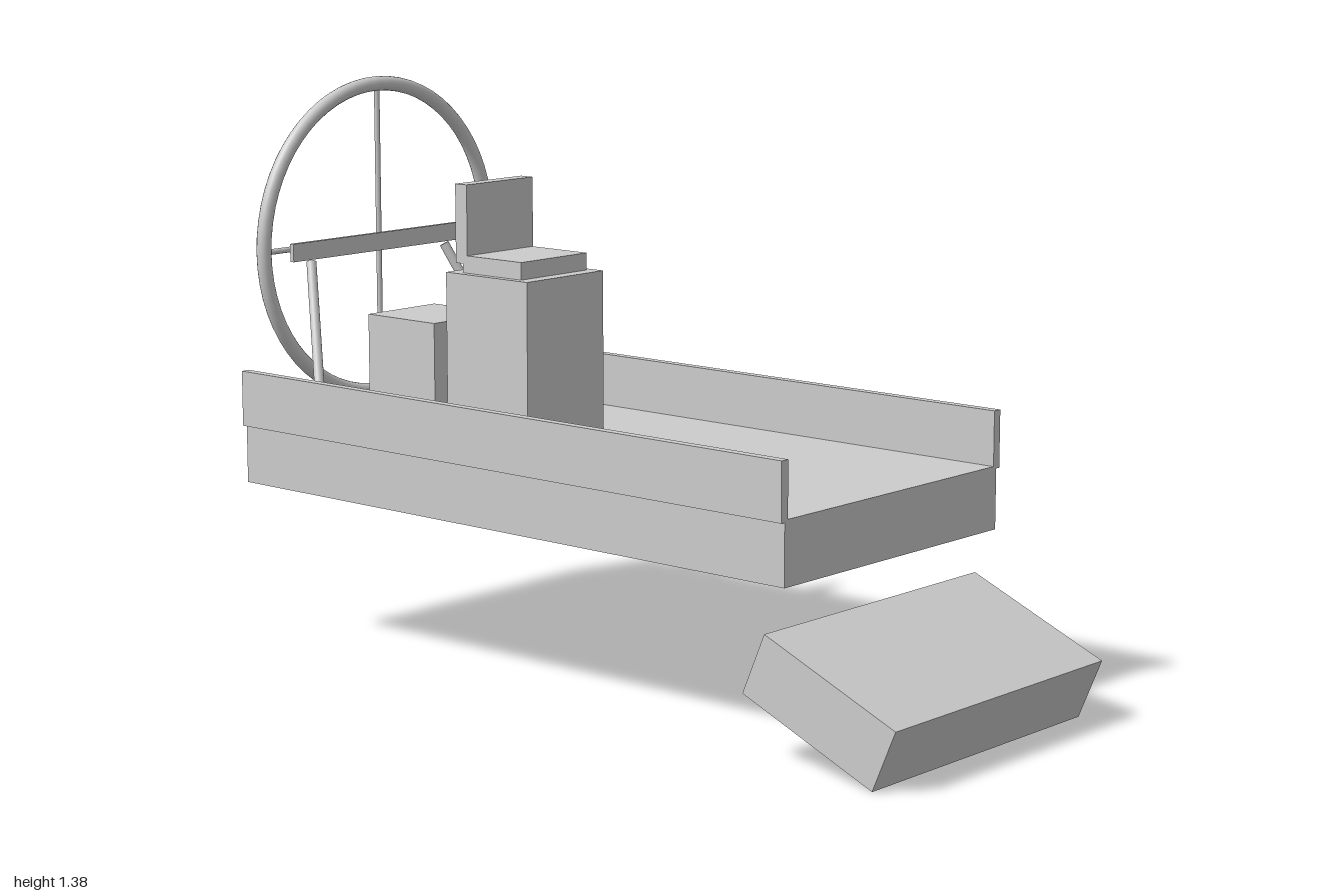
import * as THREE from 'three';

export function createModel() {
  const model = new THREE.Group();
  model.name = 'airboat';
  const grey = new THREE.MeshStandardMaterial({ color: 0xcccccc });
  grey.name = 'light grey';

  const add = (name, geometry) => {
    const mesh = new THREE.Mesh(geometry, grey);
    mesh.name = name;
    model.add(mesh);
    return mesh;
  };
  // Box given by its limits on each axis
  const box = (name, [x0, x1], [y0, y1], [z0, z1]) => {
    const mesh = add(name, new THREE.BoxGeometry(x1 - x0, y1 - y0, z1 - z0));
    mesh.position.set((x0 + x1) / 2, (y0 + y1) / 2, (z0 + z1) / 2);
    return mesh;
  };
  // Round rod between two points
  const rod = (name, from, to, radius) => {
    const a = new THREE.Vector3(...from);
    const b = new THREE.Vector3(...to);
    const mesh = add(name, new THREE.CylinderGeometry(radius, radius, a.distanceTo(b), 12));
    mesh.position.copy(a).add(b).multiplyScalar(0.5);
    mesh.quaternion.setFromUnitVectors(new THREE.Vector3(0, 1, 0), b.sub(a).normalize());
    return mesh;
  };

  // Hull and the tilted bow block
  box('hull', [-0.386, 0.386], [0.403, 0.552], [-1, 0.7]);
  const bow = add('bow', new THREE.BoxGeometry(0.772, 0.154, 0.386));
  bow.position.set(0, 0.147, 0.793);
  bow.rotation.x = 0.4;

  // Seat
  box('seatBase', [-0.134, 0.134], [0.552, 0.94], [-0.555, -0.288]);
  box('seatCushion', [-0.115, 0.115], [0.94, 0.982], [-0.517, -0.324]);
  box('seatBack', [-0.115, 0.115], [0.962, 1.153], [-0.54, -0.502]);

  // Engine and propeller
  box('engine', [-0.115, 0.115], [0.552, 0.806], [-0.846, -0.617]);
  box('propeller', [-0.348, 0.348], [0.958, 1.002], [-0.872, -0.86]);

  // Propeller cage: ring with a cross of thin rods
  const ringY = 0.979, ringZ = -0.924, ringR = 0.386;
  add('cageRing', new THREE.TorusGeometry(ringR, 0.018, 16, 64)).position.set(0, ringY, ringZ);
  rod('cageUpright', [0, ringY - ringR, ringZ], [0, ringY + ringR, ringZ], 0.007);
  rod('cageCrossbar', [-ringR, ringY, ringZ], [ringR, ringY, ringZ], 0.007);

  // Side rails and slanted cage braces
  for (const [side, s] of [['left', 1], ['right', -1]]) {
    const rail = box(side + 'Rail', [0.375, 0.398], [0.546, 0.682], [-1, 0.7]);
    rail.position.x *= s;
    rod(side + 'Brace', [s * 0.346, 0.595, -0.775], [s * 0.231, 0.941, -0.924], 0.0125);
  }
  return model;
}
